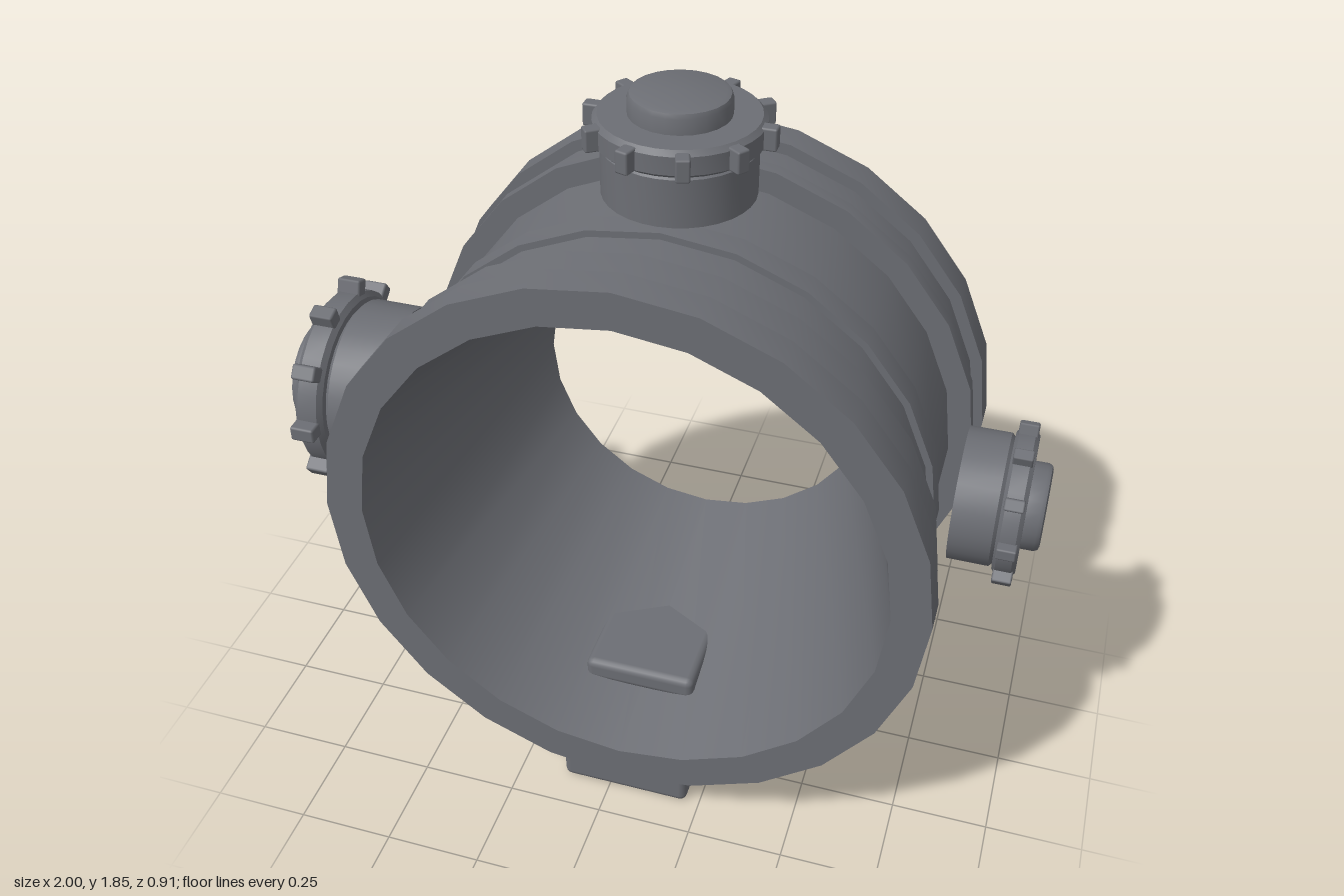
import * as THREE from 'three';
import { toCreasedNormals } from 'three/addons/utils/BufferGeometryUtils.js';
import { RoundedBoxGeometry } from 'three/addons/geometries/RoundedBoxGeometry.js';

const CX = 0.045, CY = 0.86, KNOB_Z = -0.055;

const gunmetal = new THREE.MeshStandardMaterial({ color: 0x6c6e74 });
gunmetal.name = 'gunmetal grey';

function add(parent, name, geometry) {
  const mesh = new THREE.Mesh(geometry, gunmetal);
  mesh.name = name;
  parent.add(mesh);
  return mesh;
}

// Turned solid from [radius, height] pairs, with crisp steps
function turned(profile, sides) {
  const points = profile.map(([r, h]) => new THREE.Vector2(r, h));
  return toCreasedNormals(new THREE.LatheGeometry(points, sides), 0.5);
}

function block(parent, name, [x0, x1], [y0, y1], [z0, z1], radius) {
  const g = new RoundedBoxGeometry(x1 - x0, y1 - y0, z1 - z0, 2, radius);
  add(parent, name, g).position.set((x0 + x1) / 2, (y0 + y1) / 2, (z0 + z1) / 2);
}

// Knurled knob standing on its local y axis; s scales radius, h scales height
function makeKnob(name, s, h) {
  const knob = new THREE.Group();
  knob.name = name;
  add(knob, 'knobStem', turned([[0, 0], [0.185, 0], [0.185, 0.12], [0.175, 0.13], [0, 0.13]], 32));
  add(knob, 'knobDisc', turned([[0, 0.13], [0.19, 0.13], [0.202, 0.14], [0.202, 0.185], [0.19, 0.197], [0, 0.197]], 32));
  add(knob, 'knobCap', turned([[0, 0.19], [0.122, 0.19], [0.122, 0.235], [0.117, 0.246], [0.106, 0.25], [0, 0.25]], 24));
  for (let i = 0; i < 10; i++) {
    const a = (i / 10) * Math.PI * 2;
    const tooth = add(knob, 'knobTooth', new RoundedBoxGeometry(0.034, 0.056, 0.05, 1, 0.005));
    tooth.position.set(Math.sin(a) * 0.206, 0.164, Math.cos(a) * 0.206);
    tooth.rotation.y = a;
  }
  knob.scale.set(s, h, s);
  return knob;
}

export function createModel() {
  const model = new THREE.Group();
  model.name = 'ringHousing';

  // Hollow housing: stepped back face, banded outside, conical bore
  const housing = turned([
    [0.46, -0.375], [0.49, -0.375], [0.50, -0.395], [0.54, -0.395],
    [0.55, -0.415], [0.59, -0.415], [0.60, -0.435], [0.64, -0.435],
    [0.65, -0.455], [0.685, -0.455], [0.685, -0.445], [0.755, -0.445],
    [0.755, -0.36], [0.725, -0.36], [0.725, -0.265], [0.745, -0.265],
    [0.745, -0.225], [0.685, -0.225], [0.685, 0.03], [0.702, 0.03],
    [0.702, 0.1], [0.685, 0.1], [0.685, 0.225], [0.735, 0.255],
    [0.735, 0.37], [0.755, 0.37], [0.755, 0.455], [0.66, 0.455],
    [0.46, -0.375],
  ], 24);
  housing.rotateX(Math.PI / 2);
  add(model, 'housing', housing).position.set(CX, CY, 0);

  // Three knobs: top, left and right
  const top = makeKnob('topKnob', 1, 1);
  top.position.set(CX, 1.595, KNOB_Z);
  top.rotation.y = Math.PI / 2;
  const left = makeKnob('leftKnob', 0.915, 0.87);
  left.position.set(0.783, CY, KNOB_Z);
  left.rotation.z = -Math.PI / 2;
  const right = makeKnob('rightKnob', 1.22, 1.18);
  right.position.set(-0.705, CY, KNOB_Z);
  right.rotation.z = Math.PI / 2;
  model.add(top, left, right);

  // Foot with its side brackets, and the pad inside the bore
  block(model, 'foot', [-0.13, 0.215], [0, 0.125], [-0.4, 0.41], 0.02);
  block(model, 'leftBracket', [0.12, 0.31], [0.115, 0.235], [-0.19, 0.21], 0.015);
  block(model, 'bracketRail', [0.1, 0.25], [0.125, 0.19], [-0.22, 0.25], 0.015);
  block(model, 'rightBracket', [-0.17, -0.05], [0.07, 0.2], [-0.19, 0.21], 0.015);
  block(model, 'innerPad', [-0.11, 0.19], [0.245, 0.31], [-0.12, 0.27], 0.02);
  return model;
}
